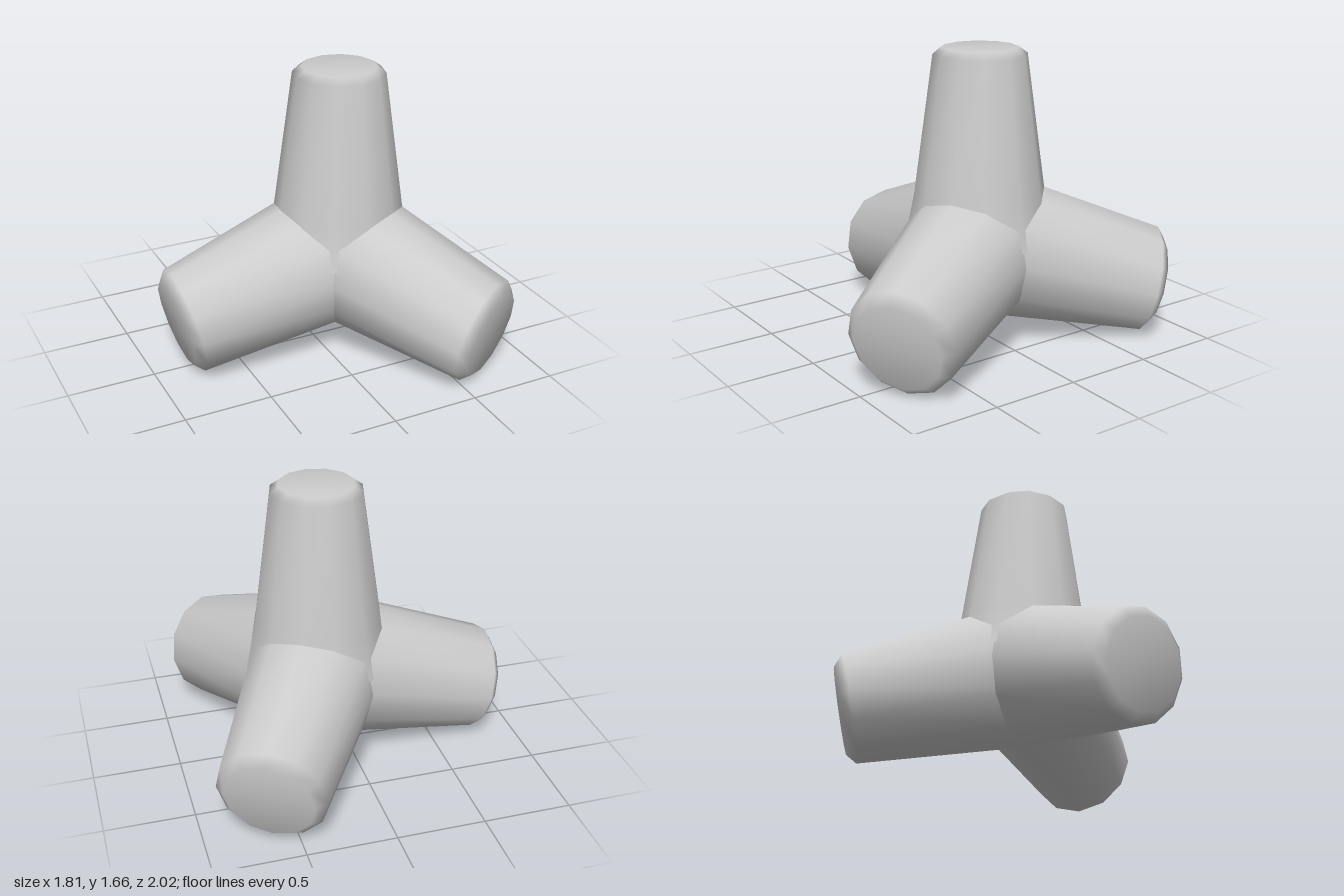
import * as THREE from 'three';

const SIDES = 12;
const material = new THREE.MeshStandardMaterial({ color: 0xcccccc, side: THREE.DoubleSide });

// Skin a row of 12-sided rings and close the last one.
// Each ring: centre c, half-axes u and v, with u x v pointing along the leg.
function loft(rings) {
  const pos = [], index = [];
  for (const { c, u, v } of rings) {
    for (let i = 0; i < SIDES; i++) {
      const a = (i / SIDES) * Math.PI * 2;
      const p = c.clone().addScaledVector(u, Math.cos(a)).addScaledVector(v, Math.sin(a));
      pos.push(p.x, p.y, p.z);
    }
  }
  for (let r = 0; r < rings.length - 1; r++) {
    for (let i = 0; i < SIDES; i++) {
      const j = (i + 1) % SIDES;
      const a = r * SIDES + i, b = r * SIDES + j;
      index.push(a, b, b + SIDES, a, b + SIDES, a + SIDES);
    }
  }
  const last = rings[rings.length - 1].c;
  const start = (rings.length - 1) * SIDES;
  pos.push(last.x, last.y, last.z);
  for (let i = 0; i < SIDES; i++) {
    index.push(start + i, start + ((i + 1) % SIDES), rings.length * SIDES);
  }
  const g = new THREE.BufferGeometry();
  g.setAttribute('position', new THREE.Float32BufferAttribute(pos, 3));
  g.setIndex(index);
  g.computeVertexNormals();
  return g;
}

const V = (x, y, z) => new THREE.Vector3(x, y, z);

// Upright leg: flared skirt filling the valleys, taper, chamfered top
function uprightGeometry() {
  const profile = [[0.42, 0.60], [0.41, 0.64], [0.367, 0.85], [0.26, 1.63], [0.212, 1.665]];
  return loft(profile.map(([r, y]) => ({ c: V(0, y, 0), u: V(0, 0, r), v: V(r, 0, 0) })));
}

// Splayed leg along +x: oval root at the hub, tilted round end with a chamfer
function splayedGeometry() {
  const ring = (x, y, tilt, h, w) => ({
    c: V(x, y, 0),
    u: V(Math.sin(tilt) * h, Math.cos(tilt) * h, 0),
    v: V(0, 0, w),
  });
  const tilt = 0.212;
  return loft([
    ring(0, 0.573, 0, 0.435, 0.392),
    ring(0.965, 0.308, tilt, 0.309, 0.306),
    ring(1.013, 0.296, tilt, 0.25, 0.25),
  ]);
}

export function createModel() {
  const model = new THREE.Group();
  model.name = 'tetrapodBlock';

  const upright = new THREE.Mesh(uprightGeometry(), material);
  upright.name = 'uprightLeg';
  model.add(upright);

  // Three splayed legs, evenly spaced around the hub
  const splayed = splayedGeometry();
  const names = ['rightLeg', 'frontLeftLeg', 'backLeftLeg'];
  names.forEach((name, i) => {
    const leg = new THREE.Mesh(splayed, material);
    leg.name = name;
    leg.rotation.y = Math.PI + (i * Math.PI * 2) / 3;
    model.add(leg);
  });

  model.children.forEach((part) => { part.position.x = 0.16; });
  return model;
}
